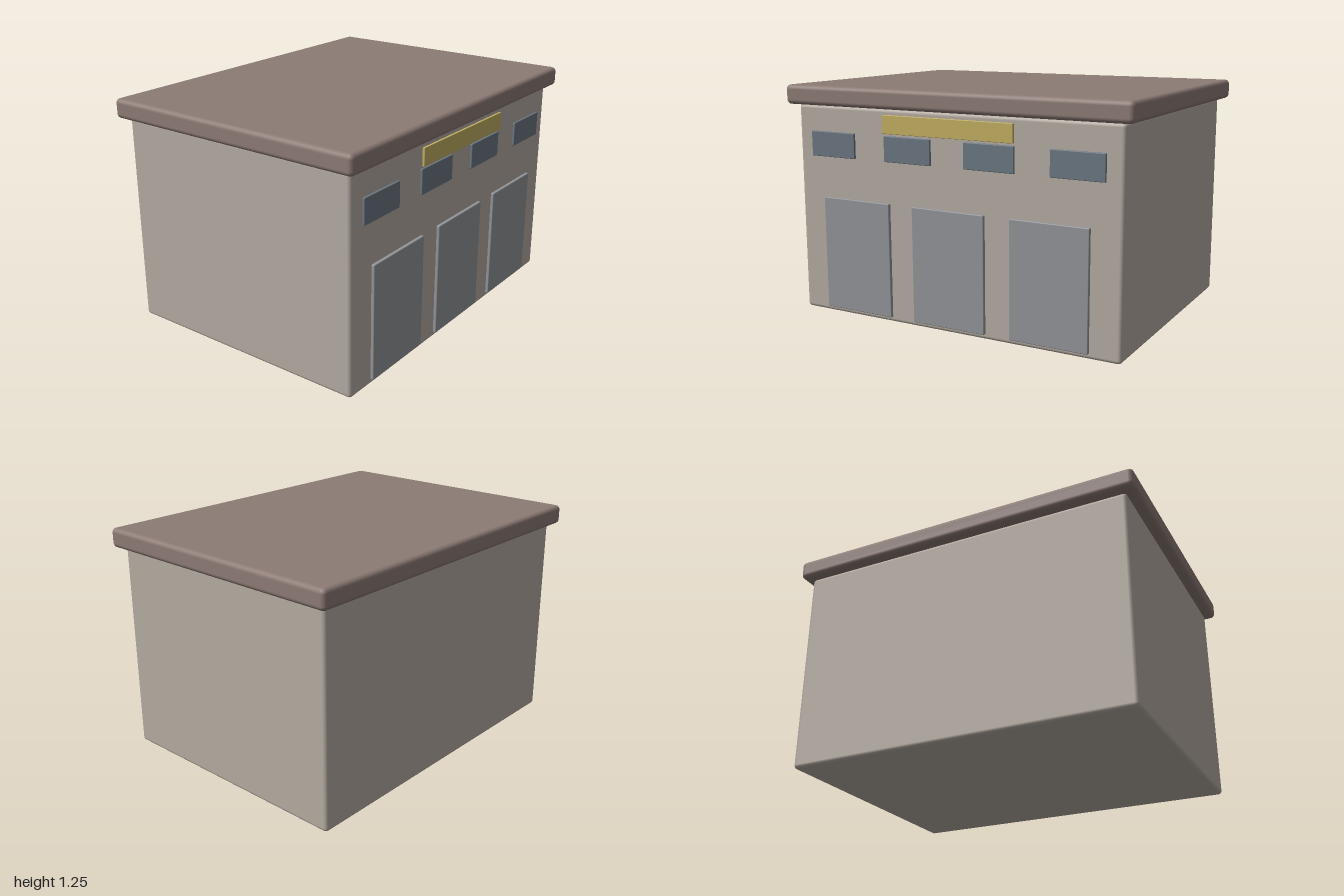
import * as THREE from 'three';
import { RoundedBoxGeometry } from 'three/addons/geometries/RoundedBoxGeometry.js';

const material = (color) => new THREE.MeshStandardMaterial({ color });

export function createModel() {
  const group = new THREE.Group();
  const wallMat = material(0xb5aca2);
  const roofMat = material(0x8d7b75);
  const doorMat = material(0x939599);
  const windowMat = material(0x6b7782);
  const signMat = material(0xc2b062);

  // Box given by its min and max corners, with softly rounded edges
  function block(name, mat, min, max, radius) {
    const size = max.map((v, i) => v - min[i]);
    const mesh = new THREE.Mesh(new RoundedBoxGeometry(...size, 3, radius), mat);
    mesh.position.set(...max.map((v, i) => (v + min[i]) / 2));
    mesh.name = name;
    group.add(mesh);
  }

  // Main building and overhanging flat roof
  block('walls', wallMat, [-0.71, 0, -0.947], [0.71, 1.14, 0.947], 0.02);
  block('roof', roofMat, [-0.757, 1.14, -1], [0.757, 1.245, 1], 0.025);

  // Three large bay doors along the left side
  [0.57, 0, -0.57].forEach((z, i) =>
    block(`bayDoor${i + 1}`, doorMat, [0.7, 0.028, z - 0.213], [0.727, 0.645, z + 0.213], 0.005));

  // Row of four high windows
  [0.715, 0.24, -0.24, -0.715].forEach((z, i) =>
    block(`window${i + 1}`, windowMat, [0.7, 0.865, z - 0.142], [0.722, 1, z + 0.142], 0.004));

  // Blank sign board just proud of the wall
  block('signBoard', signMat, [0.717, 1.013, -0.382], [0.731, 1.11, 0.382], 0.003);

  return group;
}
